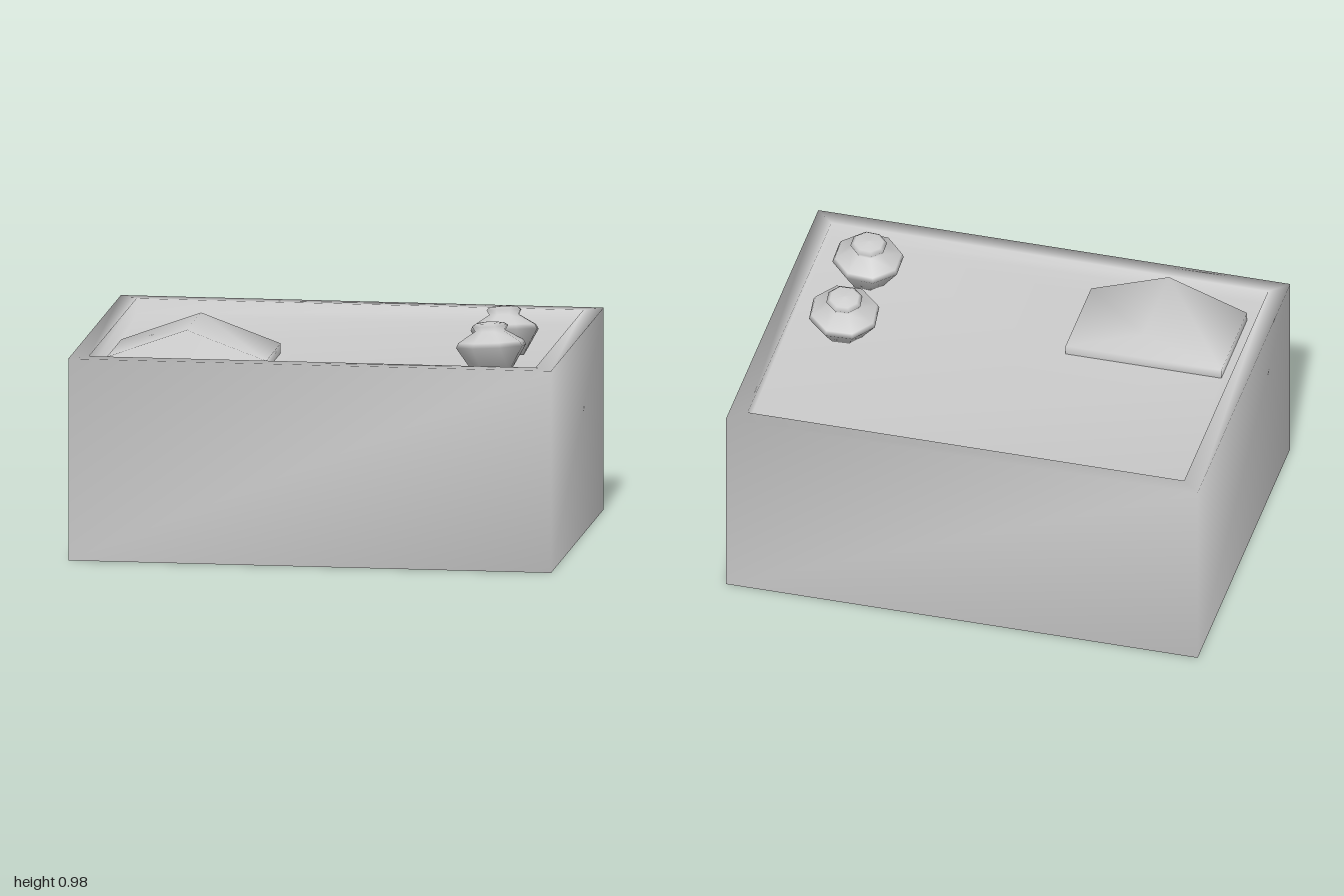
import * as THREE from 'three';
import { mergeVertices } from 'three/addons/utils/BufferGeometryUtils.js';

const material = new THREE.MeshStandardMaterial({ color: 0xcccccc, side: THREE.DoubleSide });

// Smooth skin over rectangular sections, each given as [x0, x1, z0, z1, y]
function loft(sections) {
  const positions = [], index = [];
  for (const [x0, x1, z0, z1, y] of sections) {
    positions.push(x0, y, z1, x1, y, z1, x1, y, z0, x0, y, z0);
  }
  for (let i = 0; i < sections.length - 1; i++) {
    for (let j = 0; j < 4; j++) {
      const a = i * 4 + j, b = i * 4 + (j + 1) % 4;
      index.push(a, b, b + 4, a, b + 4, a + 4);
    }
  }
  const geometry = new THREE.BufferGeometry();
  geometry.setAttribute('position', new THREE.Float32BufferAttribute(positions, 3));
  geometry.setIndex(index);
  const merged = mergeVertices(geometry);
  merged.computeVertexNormals();
  return merged;
}

function add(parent, name, geometry) {
  const mesh = new THREE.Mesh(geometry, material);
  mesh.name = name;
  parent.add(mesh);
  return mesh;
}

export function createModel() {
  const model = new THREE.Group();
  const floorY = 0.775, topY = 0.84;
  const tentBase = [-0.87, -0.21, 0.13, 0.54];

  // Open-bottomed shell: outer walls, flat rim, shallow tray around the ridge cover
  add(model, 'crate', loft([
    [-1, 1, -0.745, 0.745, 0],
    [-1, 1, -0.745, 0.745, topY],
    [-0.925, 0.925, -0.677, 0.673, topY],
    [-0.925, 0.925, -0.677, 0.673, floorY],
    [...tentBase, floorY],
  ]));

  // Hollow pitched cover with low eaves
  add(model, 'ridgeCover', loft([
    [...tentBase, floorY],
    [...tentBase, 0.815],
    [-0.54, -0.54, 0.13, 0.54, 0.935],
  ]));

  // Eight-sided jars, leaning slightly backward
  const profile = [
    [0, 0], [0.08, 0], [0.148, 0.105], [0.138, 0.125],
    [0.065, 0.168], [0.076, 0.188], [0.06, 0.2], [0, 0.207],
  ].map(([r, y]) => new THREE.Vector2(r, y));
  const jarGeometry = new THREE.LatheGeometry(profile, 8, Math.PI / 8);
  const jars = [
    { name: 'frontJar', z: 0.43, tilt: -0.1, turn: 0 },
    { name: 'backJar', z: 0.055, tilt: -0.19, turn: 0.09 },
  ];
  for (const { name, z, tilt, turn } of jars) {
    const jar = add(model, name, jarGeometry);
    jar.position.set(0.71, floorY, z);
    jar.rotation.set(tilt, turn, 0.06);
  }
  return model;
}
